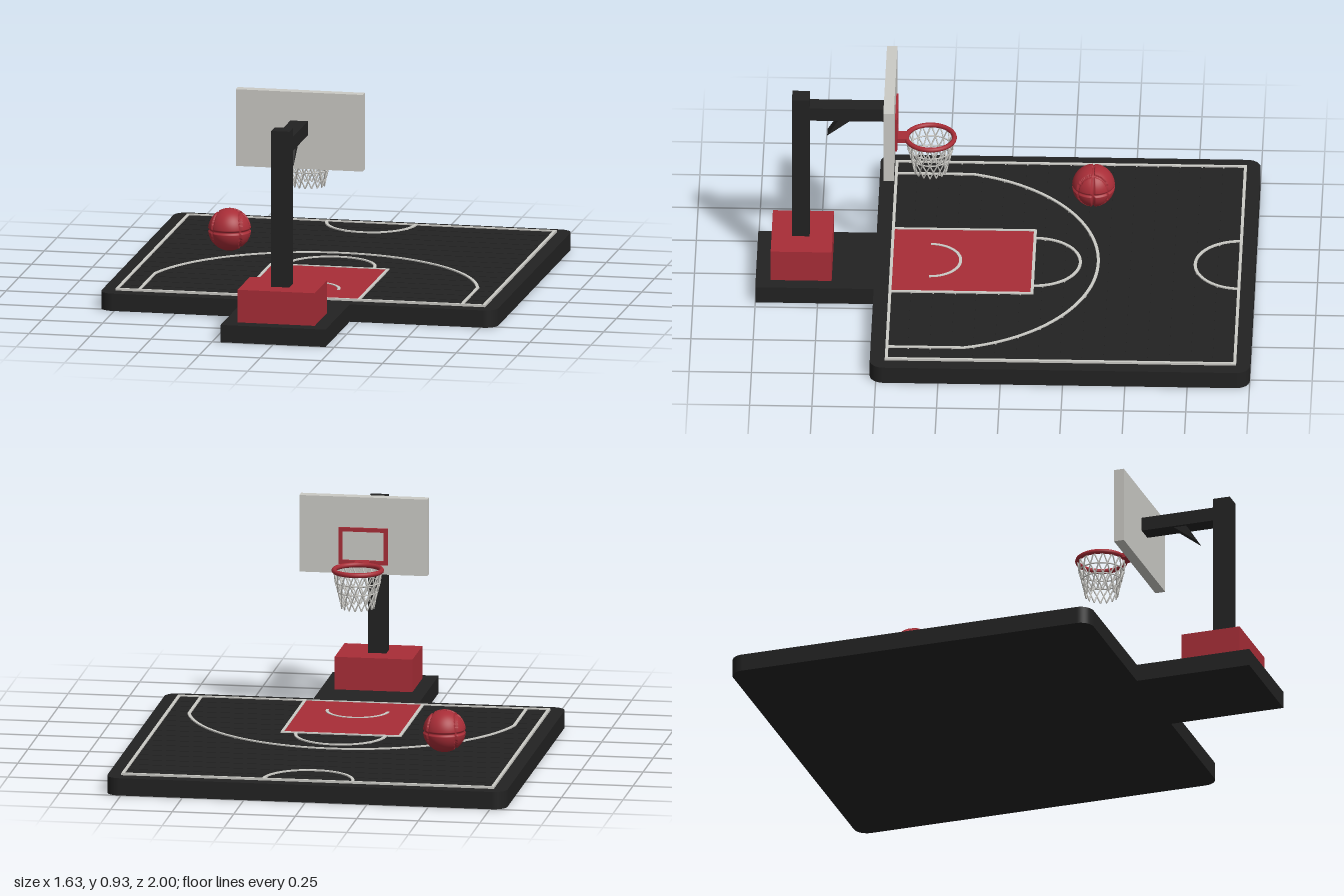
import * as THREE from 'three';
import { mergeGeometries } from 'three/addons/utils/BufferGeometryUtils.js';

const mat = (name, color) => {
  const m = new THREE.MeshStandardMaterial({ color });
  m.name = name;
  return m;
};

export function createModel() {
  const model = new THREE.Group();
  model.name = 'basketballCourt';
  const black = mat('charcoal', 0x222222);
  const red = mat('red', 0xa82d37);
  const white = mat('offWhite', 0xcbcac5);

  const add = (name, geometry, material, parent = model) => {
    const mesh = new THREE.Mesh(geometry, material);
    mesh.name = name;
    parent.add(mesh);
    return mesh;
  };
  const group = (name) => {
    const g = new THREE.Group();
    g.name = name;
    model.add(g);
    return g;
  };
  // Box given by its limits on each axis
  const box = (x0, x1, y0, y1, z0, z1) =>
    new THREE.BoxGeometry(x1 - x0, y1 - y0, z1 - z0)
      .translate((x0 + x1) / 2, (y0 + y1) / 2, (z0 + z1) / 2);
  // Shape drawn on the floor (shape y = -z), raised from y0 to y1
  const slab = (shape, y0, y1) =>
    new THREE.ExtrudeGeometry(shape, { depth: y1 - y0, bevelEnabled: false, curveSegments: 40 })
      .rotateX(-Math.PI / 2).translate(0, y0, 0);

  // Floor slab with rounded corners, and the tongue under the stand
  const FLOOR = 0.071, X = 0.813, Z0 = -1, Z1 = 0.525, R = 0.055;
  const outline = new THREE.Shape();
  outline.absarc(X - R, -Z0 - R, R, 0, Math.PI / 2);
  outline.absarc(-X + R, -Z0 - R, R, Math.PI / 2, Math.PI);
  outline.absarc(-X + R, -Z1 + R, R, Math.PI, Math.PI * 1.5);
  outline.absarc(X - R, -Z1 + R, R, Math.PI * 1.5, Math.PI * 2);
  outline.closePath();
  add('floorSlab', slab(outline, 0, FLOOR), black);
  add('standTongue', box(-0.215, 0.215, 0, FLOOR, 0.5, 1), black);

  // Floor planks separated by narrow grooves
  const planks = [], COUNT = 16, pitch = 1.4 / COUNT;
  for (let i = 0; i < COUNT; i++) {
    const z = -0.94 + i * pitch;
    planks.push(box(-0.75, 0.75, FLOOR - 0.002, 0.075, z + 0.003, z + pitch - 0.003));
  }
  add('floorPlanks', mergeGeometries(planks), black);
  add('paintedKey', box(-0.235, 0.235, FLOOR, 0.0775, -0.11, 0.46), red);

  // Court markings
  const lines = group('courtLines');
  const W = 0.012, TOP = 0.08;
  const line = (name, x0, x1, z0, z1) => add(name, box(x0, x1, FLOOR, TOP, z0, z1), white, lines);
  const arc = (name, r, cz, a0, a1) => {
    const s = new THREE.Shape();
    s.absarc(0, -cz, r + W / 2, a0, a1, false);
    s.absarc(0, -cz, r - W / 2, a1, a0, true);
    s.closePath();
    add(name, slab(s, FLOOR, TOP), white, lines);
  };
  line('farLine', -0.757, 0.757, -0.945, -0.945 + W);
  line('baseLine', -0.757, 0.757, 0.465 - W, 0.465);
  line('freeThrowLine', -0.245, 0.245, -0.117, -0.117 + W);
  for (const s of [-1, 1]) {
    const upright = (name, x, z0, z1) => line(name, s * x - W / 2, s * x + W / 2, z0, z1);
    upright('sideLine', 0.751, -0.94, 0.46);
    upright('keyLine', 0.239, -0.11, 0.46);
    upright('cornerLine', 0.661, 0.146, 0.46);
  }
  const a = Math.acos(0.661 / 0.68);
  arc('longShotArc', 0.68, 0.31, a, Math.PI - a);
  arc('freeThrowArc', 0.181, -0.117, 0, Math.PI);
  arc('centreArc', 0.181, -0.94, Math.PI, Math.PI * 2);
  arc('underHoopArc', 0.123, 0.305, 0, Math.PI);

  // Stand: base block, post, arm and diagonal brace
  const stand = group('stand');
  add('standBase', box(-0.158, 0.158, FLOOR, 0.205, 0.695, 0.94), red, stand);
  add('post', box(-0.037, 0.037, 0.2, 0.845, 0.787, 0.858), black, stand);
  add('arm', box(-0.036, 0.036, 0.75, 0.807, 0.48, 0.79), black, stand);
  const brace = new THREE.Shape([[0.717, 0.674], [0.668, 0.752], [0.615, 0.752]]
    .map(([z, y]) => new THREE.Vector2(-z, y)));
  add('armBrace', new THREE.ExtrudeGeometry(brace, { depth: 0.05, bevelEnabled: false })
    .rotateY(Math.PI / 2).translate(-0.025, 0, 0), black, stand);

  // Backboard with its target frame
  const board = group('backboard');
  add('board', box(-0.26, 0.26, 0.61, 0.925, 0.443, 0.485), white, board);
  const frame = new THREE.Shape();
  frame.moveTo(-0.1, 0.65).lineTo(0.1, 0.65).lineTo(0.1, 0.8).lineTo(-0.1, 0.8).closePath();
  const hole = new THREE.Path();
  hole.moveTo(-0.084, 0.666).lineTo(-0.084, 0.784).lineTo(0.084, 0.784).lineTo(0.084, 0.666).closePath();
  frame.holes.push(hole);
  add('targetFrame', new THREE.ExtrudeGeometry(frame, { depth: 0.01, bevelEnabled: false })
    .translate(0, 0, 0.434), red, board);

  // Hoop ring and its bracket
  const HZ = 0.303;
  const hoop = group('hoop');
  add('ring', new THREE.TorusGeometry(0.096, 0.01, 10, 48).rotateX(Math.PI / 2)
    .translate(0, 0.657, HZ), red, hoop);
  add('ringBracket', box(-0.03, 0.03, 0.648, 0.667, 0.395, 0.443), red, hoop);

  // Net of crossed cords with ring cords between the rows
  const cords = [], N = 16;
  const rows = [[0.655, 0.097], [0.61, 0.09], [0.57, 0.08], [0.535, 0.071], [0.502, 0.065]];
  const knot = (row, step) => {
    const [y, r] = rows[row], t = (step / N) * Math.PI * 2;
    return new THREE.Vector3(r * Math.cos(t), y, HZ + r * Math.sin(t));
  };
  const cord = (p, q) => {
    const d = q.clone().sub(p);
    const turn = new THREE.Quaternion().setFromUnitVectors(new THREE.Vector3(0, 1, 0), d.clone().normalize());
    cords.push(new THREE.CylinderGeometry(0.003, 0.003, d.length(), 6)
      .applyQuaternion(turn).translate(...p.clone().add(q).multiplyScalar(0.5).toArray()));
  };
  for (let k = 0; k < rows.length - 1; k++) {
    for (let i = 0; i < N; i++) {
      const s = i + (k % 2) / 2;
      cord(knot(k, s), knot(k + 1, s + 0.5));
      cord(knot(k, s), knot(k + 1, s - 0.5));
    }
  }
  for (const k of [1, 2]) {
    cords.push(new THREE.TorusGeometry(rows[k][1], 0.003, 6, 48).rotateX(Math.PI / 2)
      .translate(0, rows[k][0], HZ));
  }
  add('net', mergeGeometries(cords), white, hoop);

  // Ball: a sphere pressed in along its seams
  const ballGeo = new THREE.SphereGeometry(0.086, 128, 80);
  const pos = ballGeo.attributes.position, v = new THREE.Vector3();
  for (let i = 0; i < pos.count; i++) {
    v.fromBufferAttribute(pos, i).normalize();
    const curved = Math.abs(Math.abs(v.x) - 0.55 - 0.25 * v.z * v.z);
    const seam = Math.min(Math.abs(v.y), Math.abs(v.z), curved);
    v.multiplyScalar(seam < 0.05 ? 0.08 : 0.086);
    pos.setXYZ(i, v.x, v.y, v.z);
  }
  ballGeo.computeVertexNormals();
  add('ball', ballGeo, red).position.set(-0.457, 0.161, -0.338);

  return model;
}
